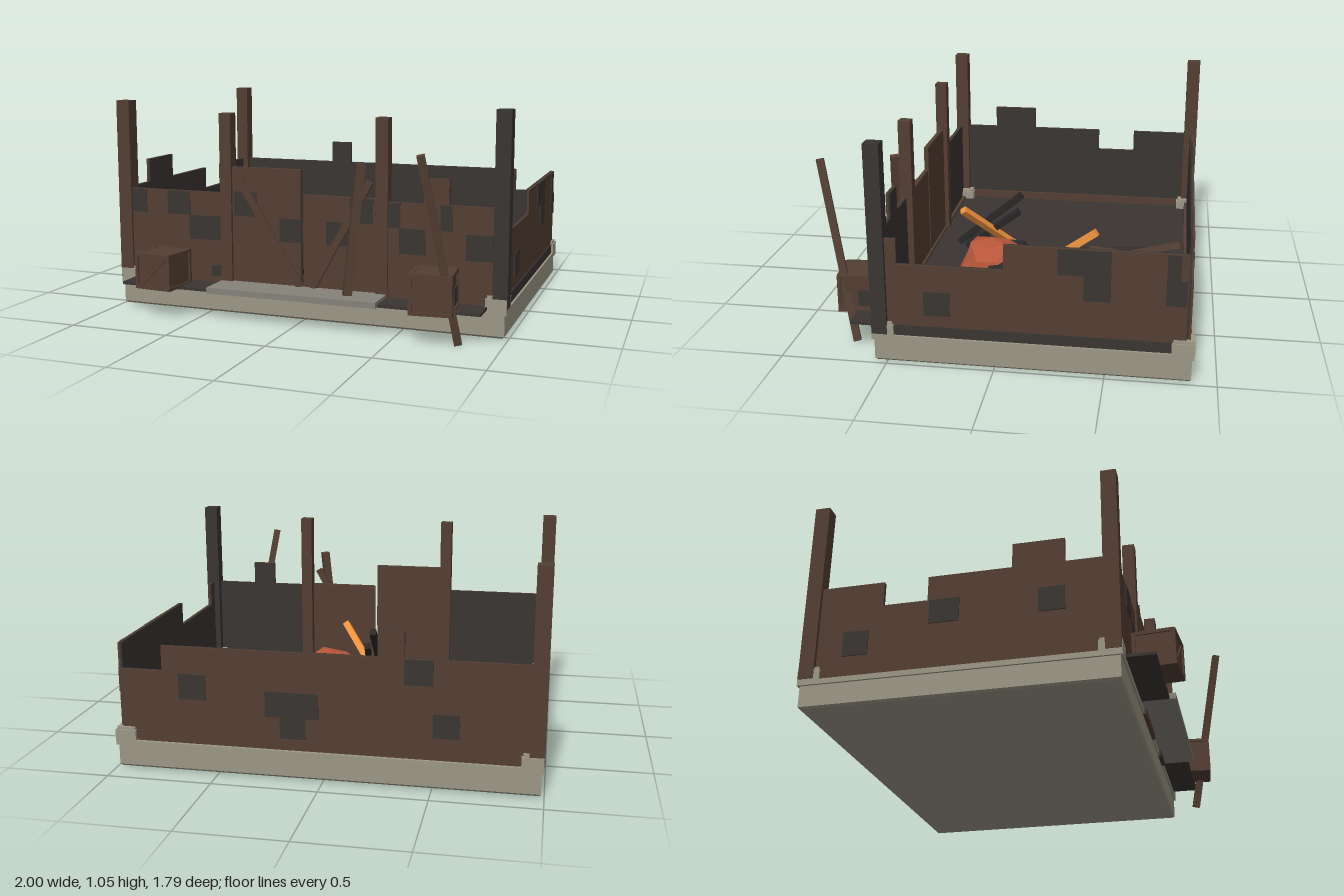
import * as THREE from 'three';

const mats = {};
const C = { wood: 0x543f33, char: 0x3a3533, stone: 0x9c9786, slab: 0x85827a, ember: 0xb8573a, glow: 0xf0923c, soot: 0x2b2828, rock: 0x857f74, earth: 0x5a4638 };
const mat = (c) => (mats[c] ??= new THREE.MeshStandardMaterial({ color: C[c], flatShading: true }));

export function createModel() {
  const root = new THREE.Group();
  const add = (name, geo, c, parent = root) => {
    const m = new THREE.Mesh(geo, mat(c));
    m.name = name;
    parent.add(m);
    return m;
  };
  // box given by its min and max corners
  const box = (name, c, x0, x1, y0, y1, z0, z1, parent) => {
    const m = add(name, new THREE.BoxGeometry(x1 - x0, y1 - y0, z1 - z0), c, parent);
    m.position.set((x0 + x1) / 2, (y0 + y1) / 2, (z0 + z1) / 2);
    return m;
  };
  // square timber between two points
  const beam = (name, c, a, b, w = 0.04, t = w, parent = root) => {
    const p = new THREE.Vector3(...a), q = new THREE.Vector3(...b);
    const m = add(name, new THREE.BoxGeometry(w, p.distanceTo(q), t), c, parent);
    m.position.copy(p).add(q).multiplyScalar(0.5);
    m.quaternion.setFromUnitVectors(new THREE.Vector3(0, 1, 0), q.sub(p).normalize());
    return m;
  };

  // stone foundation with a bevelled body and a wider lip
  const ZB = -0.895, ZF = 0.565, ZC = (ZB + ZF) / 2;
  const outline = new THREE.Shape();
  const hx = 0.975, hz = 0.71;
  [[-hx, -hz], [hx, -hz], [hx, hz], [-hx, hz]].forEach((p, i) => (i ? outline.lineTo(...p) : outline.moveTo(...p)));
  const baseGeo = new THREE.ExtrudeGeometry(outline, { depth: 0.1, bevelSize: 0.01, bevelThickness: 0.01, bevelSegments: 1 });
  baseGeo.rotateX(-Math.PI / 2).translate(0, 0.02, ZC);
  add('foundation', baseGeo, 'stone');
  box('foundationLip', 'stone', -0.995, 0.995, 0.12, 0.145, ZB, ZF);
  box('floor', 'char', -0.95, 0.95, 0.14, 0.152, -0.85, 0.52);

  // sills under the walls
  for (const s of [-1, 1]) {
    const x = s * 0.965;
    box('sideSill', s > 0 ? 'char' : 'wood', x - 0.02, x + 0.02, 0.145, 0.195, -0.87, 0.54);
  }
  box('backSill', 'wood', -0.95, 0.95, 0.145, 0.195, -0.88, -0.84);
  box('frontSill', 'wood', -0.95, 0.95, 0.145, 0.165, 0.51, 0.55);

  // broken walls: steps are [start, top], wood outside and charred inside
  const wall = (name, axis, at, out, steps, end) => {
    const s = new THREE.Shape();
    s.moveTo(steps[0][0], 0.15);
    steps.forEach(([u, y], i) => {
      s.lineTo(u, y);
      s.lineTo(i + 1 < steps.length ? steps[i + 1][0] : end, y);
    });
    s.lineTo(end, 0.15);
    for (const [k, c] of [[1, 'wood'], [-1, 'char']]) {
      const g = new THREE.ExtrudeGeometry(s, { depth: 0.01, bevelEnabled: false }).translate(0, 0, -0.005);
      if (axis === 'z') g.rotateY(-Math.PI / 2);
      const m = add(name + (k > 0 ? 'Outer' : 'Inner'), g, c);
      m.position[axis === 'z' ? 'x' : 'z'] = at + out * k * 0.005;
    }
  };
  wall('frontWallRight', 'x', 0.54, 1, [[-0.94, 0.61]], -0.42);
  wall('frontWallLeft', 'x', 0.54, 1, [[0.42, 0.61], [0.6, 0.73], [0.72, 0.61]], 0.94);
  wall('backWall', 'x', -0.865, -1, [[-0.94, 0.61], [-0.37, 0.73], [-0.25, 0.61], [0.76, 0.49]], 0.965);
  wall('rightWall', 'z', -0.968, -1, [[-0.86, 0.61], [-0.52, 0.49], [-0.31, 0.61], [0.08, 0.73], [0.32, 0.61]], 0.52);
  wall('leftWall', 'z', 0.968, 1, [[-0.855, 0.61], [-0.045, 0.49], [0.44, 0.61]], 0.52);

  // charred patches lying on the outer faces
  const patchX = (z, list) => list.forEach(([a, b, y0, y1]) => box('charPatch', 'char', a, b, y0, y1, z - 0.004, z + 0.004));
  const patchZ = (x, list) => list.forEach(([a, b, y0, y1]) => box('charPatch', 'char', x - 0.004, x + 0.004, y0, y1, a, b));
  patchX(0.55, [[-0.93, -0.845, 0.49, 0.608], [-0.725, -0.6, 0.49, 0.608], [-0.605, -0.43, 0.37, 0.49], [-0.93, -0.79, 0.19, 0.245],
    [-0.485, -0.43, 0.19, 0.245], [0.43, 0.49, 0.49, 0.608], [0.485, 0.61, 0.37, 0.49], [0.68, 0.735, 0.49, 0.608], [0.8, 0.925, 0.36, 0.48]]);
  patchX(-0.876, [[0.02, 0.27, 0.3, 0.42], [0.08, 0.2, 0.2, 0.3], [-0.5, -0.37, 0.49, 0.608], [-0.62, -0.5, 0.25, 0.36], [0.55, 0.68, 0.36, 0.48]]);
  patchZ(0.979, [[-0.52, -0.285, 0.487, 0.608], [-0.52, -0.4, 0.37, 0.487], [0.2, 0.32, 0.25, 0.365], [-0.82, -0.76, 0.487, 0.608], [-0.85, -0.76, 0.37, 0.487]]);
  patchZ(-0.979, [[-0.3, -0.16, 0.37, 0.487], [0.2, 0.32, 0.37, 0.487], [-0.7, -0.58, 0.25, 0.37]]);

  // corner posts (one is lost) and stone footings
  for (const sx of [-1, 1]) for (const front of [true, false]) {
    const z = front ? 0.527 : -0.857, x = sx * 0.963;
    const zf = front ? 0.513 : -0.845;
    box('cornerFooting', 'stone', sx * 0.945 - 0.05, sx * 0.945 + 0.05, 0.145, 0.195, zf - 0.052, zf + 0.052);
    box('footingCap', 'stone', sx * 0.945 - 0.043, sx * 0.945 + 0.043, 0.195, 0.208, zf - 0.045, zf + 0.045);
    if (sx < 0 || front) box('cornerPost', sx > 0 ? 'char' : 'wood', x - 0.035, x + 0.035, 0.15, 1.05, z - 0.036, z + 0.036);
  }

  // entrance: posts, broken doors with braces, step and charred decking
  for (const s of [-1, 1]) box('doorPost', 'wood', s * 0.4 - 0.03, s * 0.4 + 0.03, 0.15, 1, 0.5, 0.56);
  box('rightDoor', 'wood', -0.37, -0.01, 0.15, 0.74, 0.522, 0.545);
  box('leftDoor', 'wood', 0.005, 0.365, 0.15, 0.62, 0.522, 0.545);
  beam('doorBrace', 'wood', [-0.34, 0.7, 0.553], [-0.01, 0.17, 0.553], 0.035, 0.018);
  beam('doorBrace', 'wood', [0.34, 0.7, 0.553], [0.05, 0.17, 0.553], 0.035, 0.018);
  patchX(0.546, [[-0.36, -0.24, 0.5, 0.62], [-0.12, -0.005, 0.385, 0.5], [0.12, 0.24, 0.385, 0.5], [0.24, 0.355, 0.5, 0.618]]);
  box('threshold', 'wood', -0.36, -0.02, 0.11, 0.145, 0.56, 0.575);
  box('threshold', 'char', 0.22, 0.36, 0.11, 0.145, 0.56, 0.575);
  box('doorStep', 'slab', -0.43, 0.425, 0.143, 0.172, 0.545, 0.725);
  box('rightDecking', 'char', -0.91, -0.43, 0.143, 0.157, 0.545, 0.695);
  box('leftDecking', 'char', 0.425, 0.905, 0.143, 0.157, 0.545, 0.695);

  // crates with edge frames and a diagonal brace
  const crate = (x, z, turn, h) => {
    const g = new THREE.Group();
    g.name = 'crate';
    g.position.set(x, 0.15, z);
    g.rotation.y = turn;
    root.add(g);
    const r = 0.09;
    box('crateBody', 'wood', -r, r, 0, h, -r, r, g);
    for (const a of [-1, 1]) for (const b of [-1, 1]) {
      beam('crateEdge', 'wood', [a * r, 0, b * r], [a * r, h, b * r], 0.016, 0.016, g);
      const y = a < 0 ? 0.008 : h - 0.006;
      beam('crateRail', 'wood', [-r, y, b * r], [r, y, b * r], 0.016, 0.016, g);
      beam('crateRail', 'wood', [b * r, y, -r], [b * r, y, r], 0.016, 0.016, g);
    }
    for (const b of [-1, 1]) beam('crateBrace', 'wood', [-r + 0.01, 0.01, b * r], [r - 0.01, h - 0.01, b * r], 0.018, 0.01, g);
    return g;
  };
  crate(-0.685, 0.68, -0.09, 0.175);
  const c2 = crate(0.69, 0.695, 0.09, 0.185);
  box('charPatch', 'char', 0.088, 0.095, 0.03, 0.11, -0.08, 0.0, c2);

  // fallen timbers leaning at the front
  beam('leaningPlank', 'wood', [0.672, 0.87, 0.873], [0.805, 0.01, 0.695], 0.036);
  beam('leaningPlank', 'wood', [0.315, 0.79, 0.612], [0.255, 0.17, 0.628], 0.04);

  // rubble: faceted stones with seeded dents
  const rock = (c, x, z, rx, ry, rz, seed, y = 0.17) => {
    const g = new THREE.IcosahedronGeometry(1, 1), p = g.attributes.position, v = new THREE.Vector3();
    for (let i = 0; i < p.count; i++) {
      v.fromBufferAttribute(p, i);
      const n = Math.sin(Math.round(v.x * 50) * 12.9 + Math.round(v.y * 50) * 78.2 + Math.round(v.z * 50) * 37.7 + seed * 5.1) * 43.7;
      v.multiplyScalar(0.82 + 0.3 * (n - Math.floor(n)));
      p.setXYZ(i, v.x * rx, Math.max(v.y * ry, 0.155 - y), v.z * rz);
    }
    g.computeVertexNormals();
    add('rubble', g, c).position.set(x, y, z);
  };
  rock('ember', 0.18, 0.15, 0.2, 0.17, 0.18, 1);
  rock('soot', 0.26, 0.09, 0.12, 0.1, 0.12, 2);
  rock('soot', 0.03, 0.05, 0.09, 0.09, 0.09, 3);
  rock('soot', 0.24, -0.6, 0.14, 0.13, 0.11, 4);
  rock('ember', 0.17, -0.54, 0.12, 0.15, 0.1, 5);
  rock('rock', 0.39, -0.47, 0.11, 0.15, 0.12, 6);
  rock('rock', 0.34, -0.33, 0.11, 0.11, 0.09, 7);
  rock('rock', 0.2, -0.24, 0.09, 0.1, 0.08, 8);
  rock('ember', 0.3, -0.21, 0.11, 0.13, 0.09, 9);
  rock('earth', 0.52, -0.21, 0.12, 0.12, 0.11, 10);

  // burnt and glowing timbers in the rubble
  const T = 0.034;
  beam('glowingTimber', 'glow', [-0.12, 0.17, 0.07], [0.13, 0.45, 0.31], T);
  beam('burntTimber', 'soot', [-0.07, 0.48, 0.03], [-0.055, 0.2, 0.37], T);
  beam('burntTimber', 'soot', [-0.04, 0.4, 0.04], [0.0, 0.2, 0.32], T);
  beam('fallenTimber', 'wood', [0.3, 0.39, -0.82], [0.18, 0.24, -0.42], T);
  beam('burntTimber', 'char', [0.21, 0.33, -0.77], [0.2, 0.3, -0.33], 0.03);
  beam('fallenTimber', 'wood', [0.345, 0.33, -0.69], [0.2, 0.3, -0.36], T);
  beam('glowingTip', 'glow', [0.355, 0.333, -0.715], [0.345, 0.33, -0.69], T);
  beam('glowingTimber', 'glow', [0.27, 0.42, -0.4], [0.24, 0.22, -0.13], 0.036);
  beam('fallenTimber', 'wood', [0.29, 0.29, -0.24], [0.48, 0.31, -0.29], T);
  beam('fallenTimber', 'wood', [0.33, 0.2, -0.19], [0.42, 0.17, -0.08], 0.03);
  return root;
}
